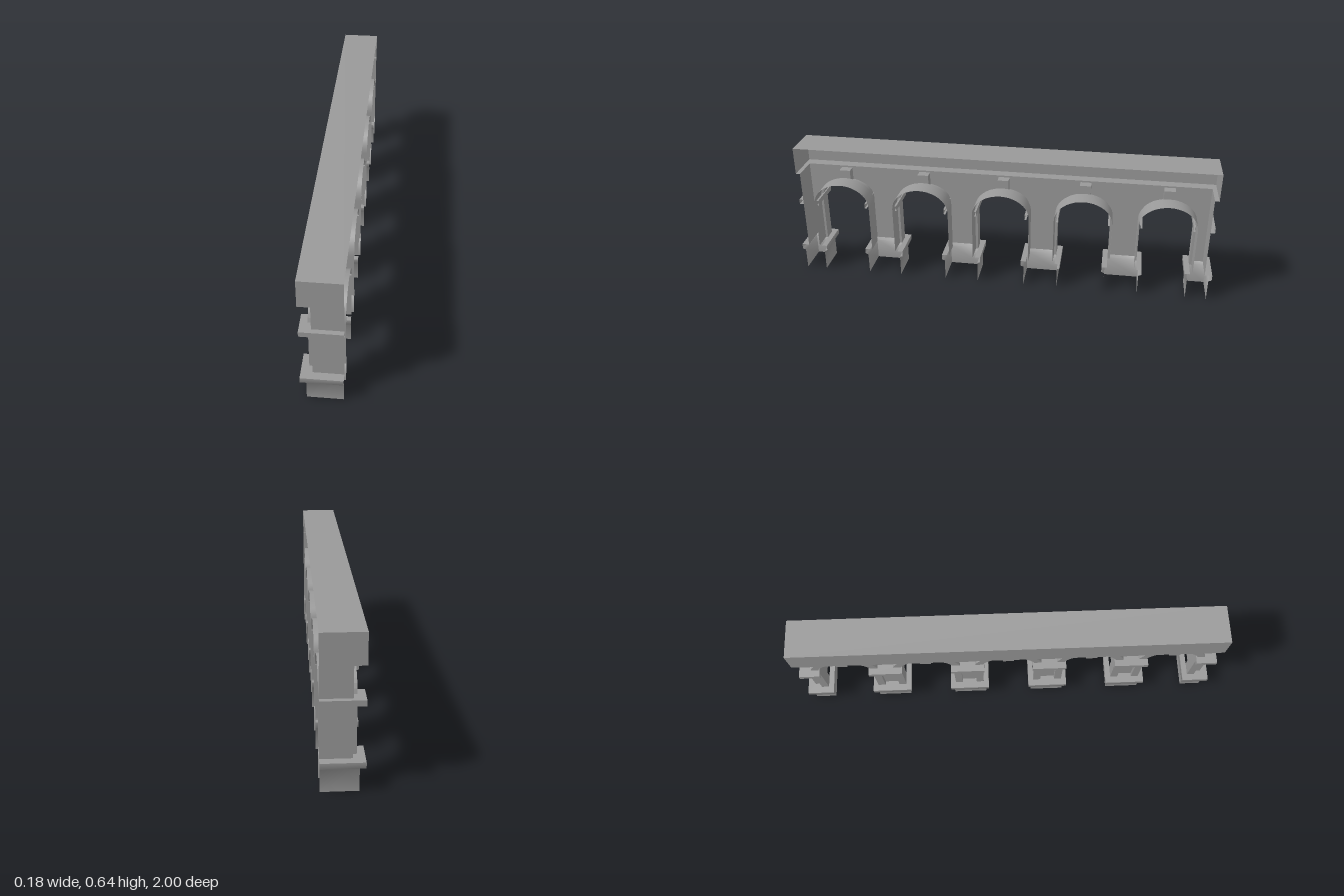
import * as THREE from 'three';
import { toCreasedNormals } from 'three/addons/utils/BufferGeometryUtils.js';

const BACK = 0.088, STEP = 0, WALL = -0.04, BAND = -0.057;
const PITCH = 0.387, COUNT = 5, SPRING = 0.36, FLOOR = 0.13;
const OPEN = 0.124, RISE = 0.09;   // inner order of an opening
const WIDE = 0.135, HIGH = 0.108;  // outer order, behind the step

export function createModel() {
  const group = new THREE.Group();
  const mat = new THREE.MeshStandardMaterial({ color: 0x999999, side: THREE.DoubleSide });

  function add(name, geometry) {
    const mesh = new THREE.Mesh(geometry, mat);
    mesh.name = name;
    group.add(mesh);
  }

  // U-shaped shell, open at the back: sections of [front x, z0, z1, y]
  function shell(sections) {
    const pos = [], idx = [];
    for (const [x, z0, z1, y] of sections) {
      pos.push(BACK, y, z0, x, y, z0, x, y, z1, BACK, y, z1);
    }
    for (let s = 0; s < sections.length - 1; s++) {
      for (let k = 0; k < 3; k++) {
        const a = s * 4 + k, b = a + 1, c = a + 4, d = a + 5;
        idx.push(a, b, d, a, d, c);
      }
    }
    const g = new THREE.BufferGeometry();
    g.setAttribute('position', new THREE.Float32BufferAttribute(pos, 3));
    g.setIndex(idx);
    return toCreasedNormals(g, 1.35);
  }

  // Arch outline in (z, y): straight jambs with an elliptical head
  function archPoints(centre, half, rise, n = 20) {
    const pts = [new THREE.Vector2(centre - half, FLOOR)];
    for (let i = 0; i <= n; i++) {
      const t = Math.PI * (1 - i / n);
      pts.push(new THREE.Vector2(centre + half * Math.cos(t), SPRING + rise * Math.sin(t)));
    }
    pts.push(new THREE.Vector2(centre + half, FLOOR));
    return pts;
  }

  // Band between two arch outlines
  const ring = (outer, inner) => new THREE.Shape([...outer, ...inner.slice().reverse()]);

  // Turns a (z, y) drawing so that it faces -x at the given depth
  const facing = (g, x) => g.rotateY(-Math.PI / 2).translate(x, 0, 0);

  // Vault and jambs: an arch outline swept from x0 to x1
  function vault(pts, x0, x1) {
    const g = new THREE.PlaneGeometry(1, 1, pts.length - 1, 1);
    const p = g.attributes.position;
    for (let i = 0; i < p.count; i++) {
      const q = pts[i % pts.length];
      p.setXYZ(i, i < pts.length ? x0 : x1, q.y, q.x);
    }
    g.computeVertexNormals();
    return g;
  }

  const centres = [];
  for (let i = 0; i < COUNT; i++) centres.push((i - (COUNT - 1) / 2) * PITCH);

  // Top beam
  add('topBeam', shell([
    [WALL, -0.965, 0.965, 0.516], [-0.088, -0.985, 0.985, 0.516],
    [-0.088, -0.985, 0.985, 0.645], [BACK, -0.985, 0.985, 0.645],
  ]));

  // Facade wall with arched openings
  const outline = [new THREE.Vector2(-0.965, 0.516), new THREE.Vector2(-0.965, FLOOR)];
  for (const c of centres) outline.push(...archPoints(c, WIDE, HIGH));
  outline.push(new THREE.Vector2(0.965, FLOOR), new THREE.Vector2(0.965, 0.516));
  add('facadeWall', facing(new THREE.ShapeGeometry(new THREE.Shape(outline)), WALL));

  // End walls
  for (const s of [-1, 1]) {
    const end = new THREE.PlaneGeometry(BACK - WALL, 0.516 - FLOOR);
    if (s < 0) end.rotateY(Math.PI);
    end.translate((BACK + WALL) / 2, (0.516 + FLOOR) / 2, s * 0.965);
    add('endWall', end);
  }

  for (const c of centres) {
    const inner = archPoints(c, OPEN, RISE);
    const outer = archPoints(c, WIDE, HIGH);

    // Raised band: pilasters running into the arch moulding
    const band = ring(archPoints(c, OPEN + 0.035, 0.125), inner);
    add('archBand', facing(
      new THREE.ExtrudeGeometry(band, { depth: WALL - BAND, bevelEnabled: false }), WALL));

    // Stepped vault: narrow order in front, wider order behind
    add('frontVault', vault(inner, BAND, STEP));
    add('vaultStep', facing(new THREE.ShapeGeometry(ring(outer, inner)), STEP));
    add('rearVault', vault(outer, STEP, BACK));

    // Keystone
    add('keystone', new THREE.BoxGeometry(0.064, 0.073, 0.052).translate(-0.032, 0.4715, c));
  }

  // Piers: mouldings project differently at the two ends of the building
  for (let i = 0; i <= COUNT; i++) {
    const mid = (i - COUNT / 2) * PITCH;
    const first = i === 0, last = i === COUNT;
    const z0 = first ? -0.965 : mid - PITCH / 2 + OPEN;
    const z1 = last ? 0.965 : mid + PITCH / 2 - OPEN;
    // section grown by e on opening sides and by o on the building ends
    const sec = (x, e, o, y) => [x, z0 - (first ? o : e), z1 + (last ? o : e), y];

    add('plinth', shell([
      sec(-0.064, 0.011, 0.02, 0), sec(-0.064, 0.011, 0.02, 0.099),
      sec(-0.088, 0.025, 0.035, 0.105), sec(-0.088, 0.025, 0.035, FLOOR),
      sec(WALL, 0, 0, FLOOR),
    ]));
    add('impost', shell([
      sec(WALL, 0, 0, 0.355), sec(-0.088, 0.009, 0.02, 0.355),
      sec(-0.088, 0.009, 0.02, 0.379), sec(WALL, 0, 0, 0.379),
    ]));
  }

  return group;
}
